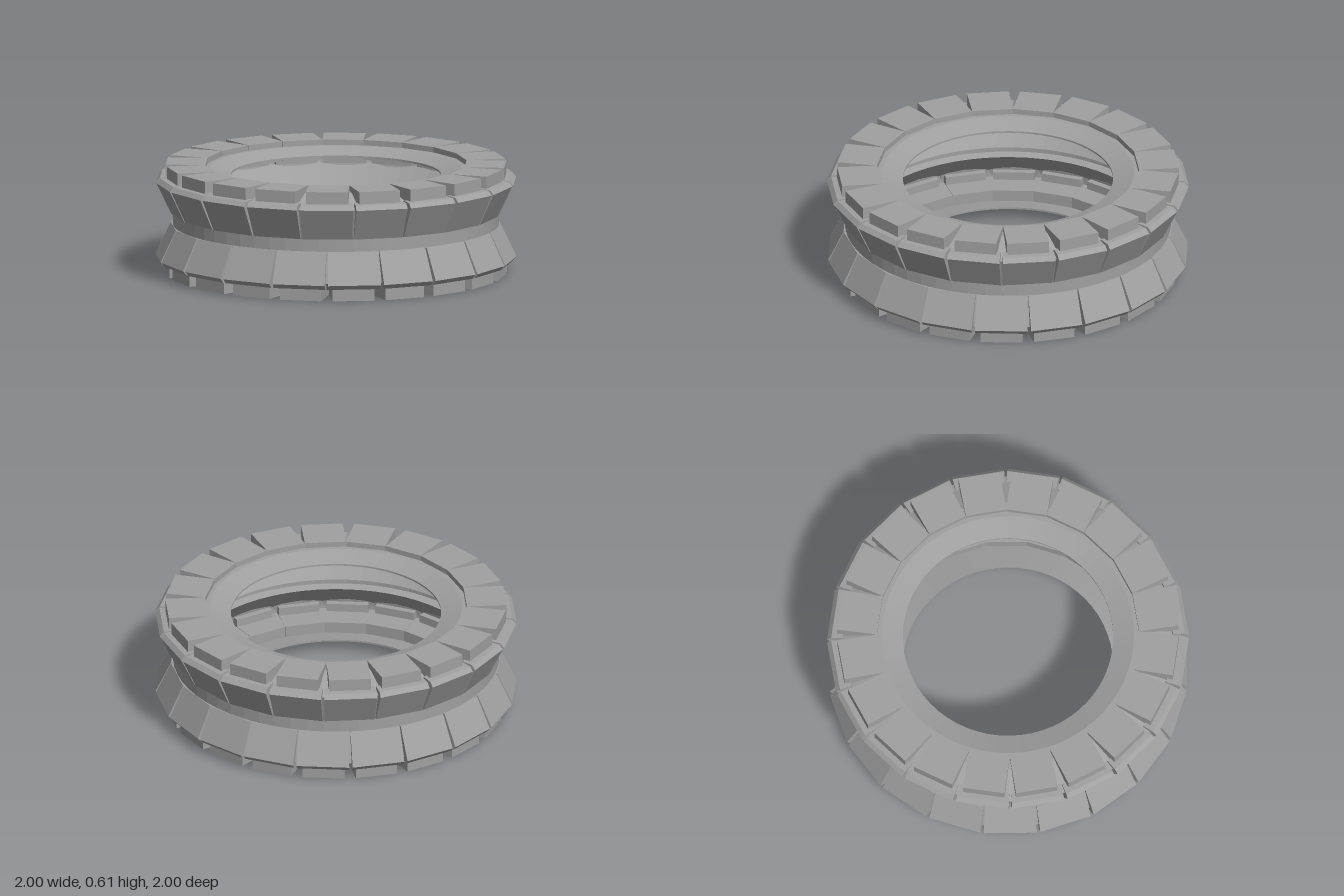
import * as THREE from 'three';

const COUNT = 20;    // lugs per side
const MID = 0.305;   // half of the tyre width

const rubber = new THREE.MeshStandardMaterial({ color: 0xa0a0a0 });
rubber.name = 'grey rubber';

// Radial profile [radius, y] extruded tangentially; the half width follows the radius
function lugGeometry(profile, halfWidth) {
  const shape = new THREE.Shape(profile.map(([r, y]) => new THREE.Vector2(r, y - MID)));
  const geo = new THREE.ExtrudeGeometry(shape, { depth: 2, bevelEnabled: false });
  geo.translate(0, 0, -1);
  const p = geo.attributes.position;
  for (let i = 0; i < p.count; i++) p.setZ(i, p.getZ(i) * halfWidth(p.getX(i)));
  geo.computeVertexNormals();
  return geo;
}

// Hollow carcass: upper half of the cross-section, mirrored to close the ring
function carcassGeometry() {
  const half = [
    [0.9, 0.305], [0.9, 0.34], [0.955, 0.51], [0.9, 0.53], [0.78, 0.575],
    [0.72, 0.58], [0.695, 0.58], [0.58, 0.545], [0.58, 0.535], [0.73, 0.565],
    [0.73, 0.502], [0.9, 0.502], [0.9, 0.46], [0.8, 0.335], [0.85, 0.325], [0.85, 0.305],
  ];
  const mirrored = half.map(([r, y]) => [r, 2 * MID - y]).reverse().slice(1);
  const points = [...half, ...mirrored].map(([r, y]) => new THREE.Vector2(r, y));
  const geo = new THREE.LatheGeometry(points, 60).toNonIndexed();
  geo.computeVertexNormals();
  return geo;
}

export function createModel() {
  const model = new THREE.Group();
  model.name = 'tyre';

  const carcass = new THREE.Mesh(carcassGeometry(), rubber);
  carcass.name = 'carcass';
  model.add(carcass);

  // Sloping tread plate with a bevelled shoulder
  const treadGeo = lugGeometry(
    [[0.865, 0.34], [0.902, 0.34], [0.987, 0.515], [0.965, 0.54], [0.9, 0.545]],
    (r) => 0.138 + (r - 0.9) * 0.1
  );
  // Side block, reaching through the sidewall into the cavity
  const sideGeo = lugGeometry(
    [[0.715, 0.61], [0.715, 0.5], [0.85, 0.5], [0.85, 0.455], [0.91, 0.455], [0.935, 0.53], [0.935, 0.61]],
    (r) => 0.113 + (r - 0.715) * 0.015
  );

  // One ring of lugs for each side; the lower one is staggered by half a pitch
  for (const top of [true, false]) {
    const ring = new THREE.Group();
    ring.name = top ? 'upperLugs' : 'lowerLugs';
    ring.position.y = MID;
    if (!top) ring.rotation.x = Math.PI;
    for (let i = 0; i < COUNT; i++) {
      const lug = new THREE.Group();
      lug.name = 'lug';
      lug.rotation.y = Math.PI / 2 + ((i + (top ? 0.5 : 0)) * 2 * Math.PI) / COUNT;
      const tread = new THREE.Mesh(treadGeo, rubber);
      tread.name = 'treadPlate';
      const side = new THREE.Mesh(sideGeo, rubber);
      side.name = 'sideBlock';
      lug.add(tread, side);
      ring.add(lug);
    }
    model.add(ring);
  }
  return model;
}
